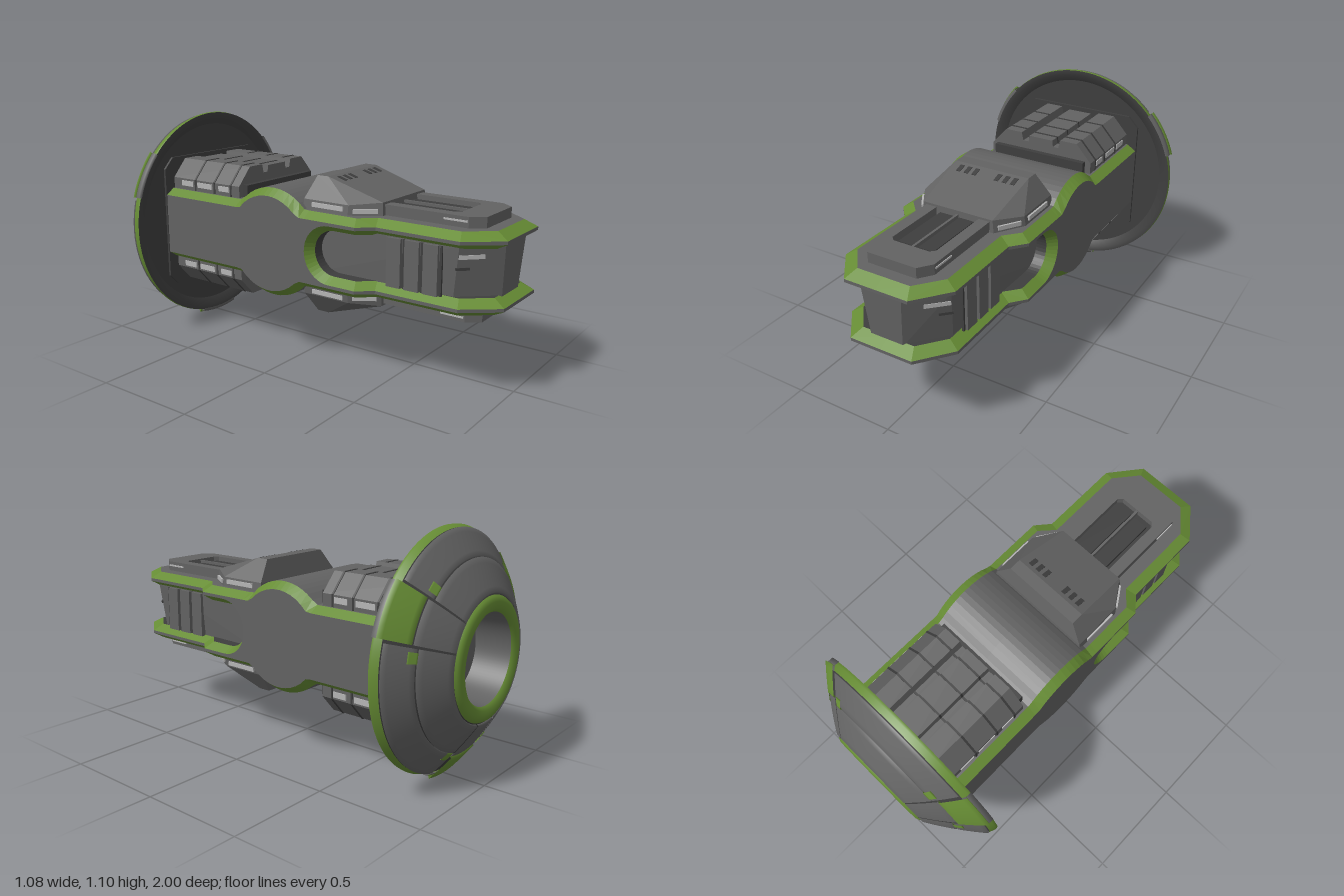
import * as THREE from 'three';
import { ConvexGeometry } from 'three/addons/geometries/ConvexGeometry.js';

const paint = (name, color) => new THREE.MeshStandardMaterial({ name, color, side: THREE.DoubleSide });
const grey = paint('hull grey', 0x626262);
const dark = paint('dark grey', 0x3e3e3e);
const green = paint('trim green', 0x668c34);
const light = paint('lamp grey', 0xb4b4b4);

function add(parent, name, geometry, material, x = 0, y = 0, z = 0, ry = 0) {
  const mesh = new THREE.Mesh(geometry, material);
  mesh.name = name;
  mesh.position.set(x, y, z);
  mesh.rotation.y = ry;
  parent.add(mesh);
  return mesh;
}
const box = (w, h, d) => new THREE.BoxGeometry(w, h, d);

// Ribbon between two rows of points, built on the left side and mirrored
function strip(A, B) {
  const pos = [];
  for (const s of [1, -1]) {
    for (let i = 0; i + 1 < A.length; i++) {
      const quad = [A[i], A[i + 1], B[i + 1], A[i], B[i + 1], B[i]];
      if (s < 0) quad.reverse();
      quad.forEach(([x, y, z]) => pos.push(s * x, y, z));
    }
  }
  const g = new THREE.BufferGeometry();
  g.setAttribute('position', new THREE.Float32BufferAttribute(pos, 3));
  g.computeVertexNormals();
  return g;
}

// Convex solid, symmetric in x
const convex = (pts) => new ConvexGeometry(
  pts.flatMap(([x, y, z]) => [new THREE.Vector3(x, y, z), new THREE.Vector3(-x, y, z)]));

// Closed outline from its right half, symmetric in x
function mirroredShape(half) {
  const all = [...half, ...half.slice().reverse().map(([x, y]) => [-x, y])];
  return new THREE.Shape(all.map(([x, y]) => new THREE.Vector2(x, y)));
}
const extrude = (shape, depth) => new THREE.ExtrudeGeometry(shape, { depth, bevelEnabled: false, curveSegments: 8 });

// Hull stations: outer and inner plan edge, plus the lower edge of the jaw
function hullStations() {
  const list = [];
  const put = (ox, oz, ix, iz, lo = 0, li = 0, lz = iz) => list.push({ ox, oz, ix, iz, lo, li, lz });
  for (let i = 0; i < 30; i++) {
    const z = -0.78 + (0.885 * i) / 30;
    put(0.335, z, 0.29, z);
  }
  const slotStart = list.length;
  for (let i = 0; i <= 10; i++) {
    const a = (i / 10) * Math.PI / 2, c = Math.cos(a), s = Math.sin(a);
    const z = 0.24 - 0.135 * c;
    put(0.335, z, 0.29, z, 0.135 * s, 0.105 * s, 0.24 - 0.105 * c);
  }
  const plan = [[0.335, 0.38, 0.29, 0.36], [0.275, 0.45, 0.225, 0.43], [0.275, 0.85, 0.225, 0.83],
    [0.155, 1, 0.13, 0.945], [0, 1, 0, 0.945]];
  plan.forEach((p) => put(...p, 0.135, 0.105));
  return { list, slotStart };
}

// Upper half of the hull; the lower half is the same turned over
function hullHalf() {
  const half = new THREE.Group();
  const { list, slotStart } = hullStations();
  const hump = (z, r, flat) => Math.max(flat, Math.sqrt(Math.max(0, r * r - (z + 0.11) ** 2)));
  const top = (s) => hump(s.oz, 0.26, 0.18);
  const edge = (s) => hump(s.oz, 0.228, 0.15);
  const inner = list.map((s) => [s.ix, top(s), s.iz]);
  const outer = list.map((s) => [s.ox, edge(s), s.oz]);
  const slot = list.slice(slotStart);
  const slotOuter = slot.map((s) => [s.ox, s.lo, s.oz]);
  const slotInner = slot.map((s) => [s.ix, s.li, s.lz]);
  add(half, 'deck', strip(inner.map(([, y, z]) => [0, y, z]), inner), grey);
  add(half, 'edgeBand', strip(inner, outer), green);
  add(half, 'sideWall', strip(outer, list.map((s) => [s.ox, s.lo, s.oz])), grey);
  add(half, 'slotBand', strip(slotOuter, slotInner), green);
  add(half, 'slotCeiling', strip(slotInner, slotInner.map(([, y, z]) => [0, y, z])), dark);

  // Rear housing with a sunken channel and a centre rail
  const section = mirroredShape([[0.28, 0.17], [0.28, 0.235], [0.2, 0.322], [0.11, 0.322],
    [0.1, 0.28], [0.07, 0.28], [0.065, 0.312]]);
  add(half, 'rearHousing', extrude(section, 0.45), grey, 0, 0, -0.78);
  for (const z of [-0.63, -0.5, -0.39]) {
    add(half, 'housingSeam', extrude(section, 0.01), dark, 0, 0, z).scale.set(1.008, 1.008, 1);
  }
  add(half, 'housingSkirt', box(0.5, 0.08, 0.03), dark, 0, 0.2, -0.318);

  // Wedge armour behind the nose
  add(half, 'wedgeArmour', convex([[0.275, 0.16, 0.05], [0.275, 0.16, 0.3], [0.19, 0.16, 0.43],
    [0.265, 0.225, 0.055], [0.265, 0.225, 0.3], [0.18, 0.238, 0.425],
    [0.195, 0.325, 0.08], [0.195, 0.325, 0.14]]), grey);
  for (const s of [1, -1]) {
    for (let i = 0; i < 3; i++) {
      add(half, 'armourVent', box(0.022, 0.012, 0.045), dark, s * (0.06 + 0.042 * i), 0.309, 0.18).rotation.x = 0.3;
    }
    add(half, 'armourSideLamp', box(0.009, 0.02, 0.17), light, s * 0.271, 0.205, 0.19);
    add(half, 'armourFrontLamp', box(0.11, 0.02, 0.009), light, s * 0.23, 0.2, 0.366, s * 0.99);
    for (const [z, d] of [[-0.68, 0.08], [-0.56, 0.1], [-0.43, 0.07]]) {
      add(half, 'housingLamp', box(0.009, 0.026, d), light, s * 0.28, 0.212, z);
    }
  }

  // Nose cover with a recessed bay
  const cover = mirroredShape([[0.165, -0.4], [0.165, -0.83], [0.12, -0.89]]);
  cover.holes.push(mirroredShape([[0.11, -0.42], [0.11, -0.74], [0.09, -0.76]]));
  add(half, 'noseCover', extrude(cover, 0.05).rotateX(-Math.PI / 2), grey, 0, 0.178, 0);
  add(half, 'bayFloor', box(0.23, 0.008, 0.36), dark, 0, 0.188, 0.59);
  for (const s of [1, -1]) {
    add(half, 'bayPanel', box(0.075, 0.02, 0.3), dark, s * 0.05, 0.2, 0.58);
    add(half, 'noseLamp', box(0.008, 0.008, 0.11), light, s * 0.165, 0.208, 0.77);
  }
  add(half, 'bayRidge', box(0.012, 0.032, 0.36), grey, 0, 0.205, 0.59);
  return half;
}

// Tapered core between the two jaws
function slotCore() {
  const core = new THREE.Group();
  add(core, 'coreBlock', convex([[0.24, 0.12, 0.1], [0.24, 0.12, 0.83], [0.1, 0.12, 0.97],
    [0.235, -0.12, 0.1], [0.22, -0.12, 0.8], [0.08, -0.12, 0.955]]), grey);
  for (const s of [1, -1]) {
    for (const z of [0.525, 0.615, 0.705]) {
      add(core, 'coreRib', box(0.03, 0.22, 0.07), grey, s * 0.238, 0, z);
      add(core, 'coreGroove', box(0.01, 0.22, 0.01), dark, s * 0.238, 0, z + 0.045);
    }
    add(core, 'coreLamp', box(0.11, 0.018, 0.009), light, s * 0.196, 0.072, 0.866, s * Math.PI / 4);
    add(core, 'coreMark', box(0.06, 0.012, 0.009), dark, s * 0.215, 0.02, 0.836, s * Math.PI / 4);
  }
  return core;
}

// Domed shield; profiles are [radius, distance behind the centre]
function shield() {
  const g = new THREE.Group();
  const lathe = (pts, start = 0, length = Math.PI * 2) => new THREE.LatheGeometry(
    pts.map(([r, h]) => new THREE.Vector2(r, h)), Math.max(4, Math.ceil(length * 14)), start, length).rotateX(-Math.PI / 2);
  const deg = Math.PI / 180;
  // Dome curve from the rim (t = 0) to the rear ring (t = 1)
  const dome = (t, lift = 0) => {
    const a = (20 + 38 * t) * deg;
    return [0.53 - 0.26 * t + lift * Math.cos(a), 0.805 + 0.21 * t - 0.032 * t * t + lift * Math.sin(a)];
  };
  const steps = (a, b, lift) => Array.from({ length: 7 }, (_, i) => dome(a + (b - a) * i / 6, lift));
  add(g, 'shieldFace', lathe([[0, 0.79], [0.48, 0.79]]), dark);
  add(g, 'shieldLip', lathe([[0.48, 0.79], [0.515, 0.768], [0.54, 0.768]]), dark);
  add(g, 'rimBand', lathe([[0.54, 0.768], [0.542, 0.78], [0.53, 0.808]]), green);
  add(g, 'domeBase', lathe(steps(0, 1, 0)), dark);
  add(g, 'rearRing', lathe([[0.275, 0.975], [0.265, 0.992], [0.245, 1], [0.215, 1], [0.2, 0.985]]), green);
  add(g, 'bore', lathe([[0.2, 0.985], [0.19, 0.82]]), grey);
  add(g, 'boreFloor', lathe([[0.19, 0.82], [0, 0.82]]), grey);

  // Raised panel covering a range of the dome
  const panel = (name, a, b, mid, width, mat, lift = 0.01) => add(g, name,
    lathe([dome(a), ...steps(a, b, lift), dome(b)], (mid - width / 2) * deg, width * deg), mat);
  for (let k = 0; k < 3; k++) {
    const spoke = 60 + 120 * k, sector = spoke + 60;
    panel('spokePanel', 0.39, 0.98, spoke, 25, grey);
    panel('spokeTip', -0.06, 0.37, spoke, 25, green, 0.016);
    add(g, 'rimClamp', lathe([[0.535, 0.766], [0.551, 0.768], [0.551, 0.79], [0.535, 0.81]],
      (spoke - 12.5) * deg, 25 * deg), grey);
    panel('innerPanel', 0.47, 0.98, sector, 92, grey);
    panel('outerPanel', 0.03, 0.45, sector, 92, grey);
    for (const s of [-1, 1]) panel('domeTab', 0.34, 0.47, sector + s * 41, 6, green, 0.014);
  }

  // Octagonal mount on the front face
  const mount = mirroredShape([[0.285, -0.335], [0.338, -0.28], [0.338, 0.28], [0.285, 0.335]]);
  add(g, 'hullMount', extrude(mount, 0.015), dark, 0, 0, -0.793);
  return g;
}

export function createModel() {
  const model = new THREE.Group();
  model.name = 'model';
  const parts = { upperHull: hullHalf(), lowerHull: hullHalf(), slotCore: slotCore(), shield: shield() };
  parts.lowerHull.rotation.z = Math.PI;
  for (const [name, part] of Object.entries(parts)) {
    part.name = name;
    part.position.y = 0.555;
    model.add(part);
  }
  return model;
}
